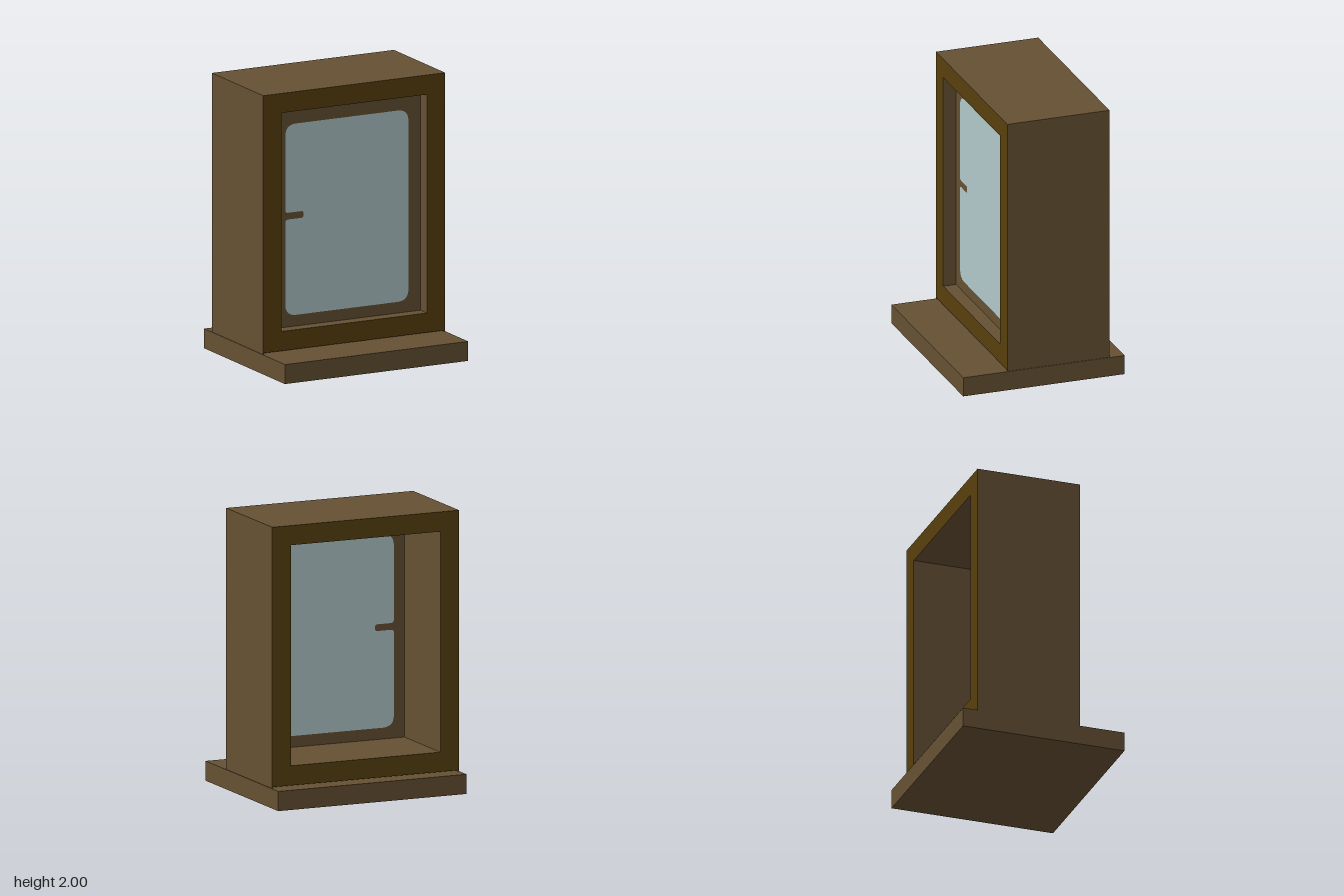
import * as THREE from 'three';

const wood = new THREE.MeshStandardMaterial({ color: 0x655033 });
wood.name = 'brownWood';
const trim = new THREE.MeshStandardMaterial({ color: 0x58400d });
trim.name = 'darkTrim';
const pane = new THREE.MeshStandardMaterial({ color: 0xb2c8ca });
pane.name = 'paleGlass';

function rect(target, x0, x1, y0, y1) {
  target.moveTo(x0, y0);
  target.lineTo(x1, y0);
  target.lineTo(x1, y1);
  target.lineTo(x0, y1);
  target.closePath();
  return target;
}

// Rounded outline; each corner is [x, y, radius]
function roundedOutline(target, corners) {
  const n = corners.length;
  const toward = (a, b) => {
    const d = Math.hypot(b[0] - a[0], b[1] - a[1]);
    return [a[0] + (b[0] - a[0]) * a[2] / d, a[1] + (b[1] - a[1]) * a[2] / d];
  };
  corners.forEach((c, i) => {
    const [ax, ay] = toward(c, corners[(i + n - 1) % n]);
    const [bx, by] = toward(c, corners[(i + 1) % n]);
    if (i === 0) target.moveTo(ax, ay);
    else target.lineTo(ax, ay);
    target.quadraticCurveTo(c[0], c[1], bx, by);
  });
  target.closePath();
  return target;
}

function extruded(name, shape, z0, z1, material) {
  const geometry = new THREE.ExtrudeGeometry(shape, { depth: z1 - z0, bevelEnabled: false, curveSegments: 6 });
  const mesh = new THREE.Mesh(geometry, material);
  mesh.position.z = z0;
  mesh.name = name;
  return mesh;
}

function box(name, w, h, d, x, y, z) {
  const mesh = new THREE.Mesh(new THREE.BoxGeometry(w, h, d), wood);
  mesh.position.set(x, y, z);
  mesh.name = name;
  return mesh;
}

export function createModel() {
  const model = new THREE.Group();
  model.name = 'windowUnit';

  // Wide sill under the casing
  model.add(box('sill', 1.45, 0.14, 1.2, 0, 0.07, 0));

  // Deep casing: dark front and back faces, brown outer and inner walls
  const casing = rect(new THREE.Shape(), -0.72, 0.72, 0.15, 2);
  casing.holes.push(rect(new THREE.Path(), -0.575, 0.575, 0.29, 1.86));
  model.add(extruded('casing', casing, -0.49, 0.27, [trim, wood]));

  // Thin side edges that carry the casing down to the sill
  for (const s of [-1, 1]) {
    model.add(box(s > 0 ? 'leftFoot' : 'rightFoot', 0.005, 0.01, 0.76, s * 0.7175, 0.145, -0.11));
  }

  // Glass outline with a notch where the handle reaches in
  const outline = [
    [-0.495, 0.37, 0.085], [0.48, 0.37, 0.085], [0.48, 1.745, 0.085], [-0.495, 1.745, 0.085],
    [-0.495, 1.11, 0.025], [-0.35, 1.11, 0.018], [-0.35, 1.062, 0.018], [-0.495, 1.062, 0.025],
  ];

  // Sash with its handle, a narrow gap left above it
  const sash = rect(new THREE.Shape(), -0.575, 0.575, 0.29, 1.85);
  sash.holes.push(roundedOutline(new THREE.Path(), outline));
  model.add(extruded('sash', sash, 0.105, 0.175, wood));

  // Glass set flush in the sash
  model.add(extruded('glass', roundedOutline(new THREE.Shape(), outline), 0.105, 0.175, pane));

  return model;
}
